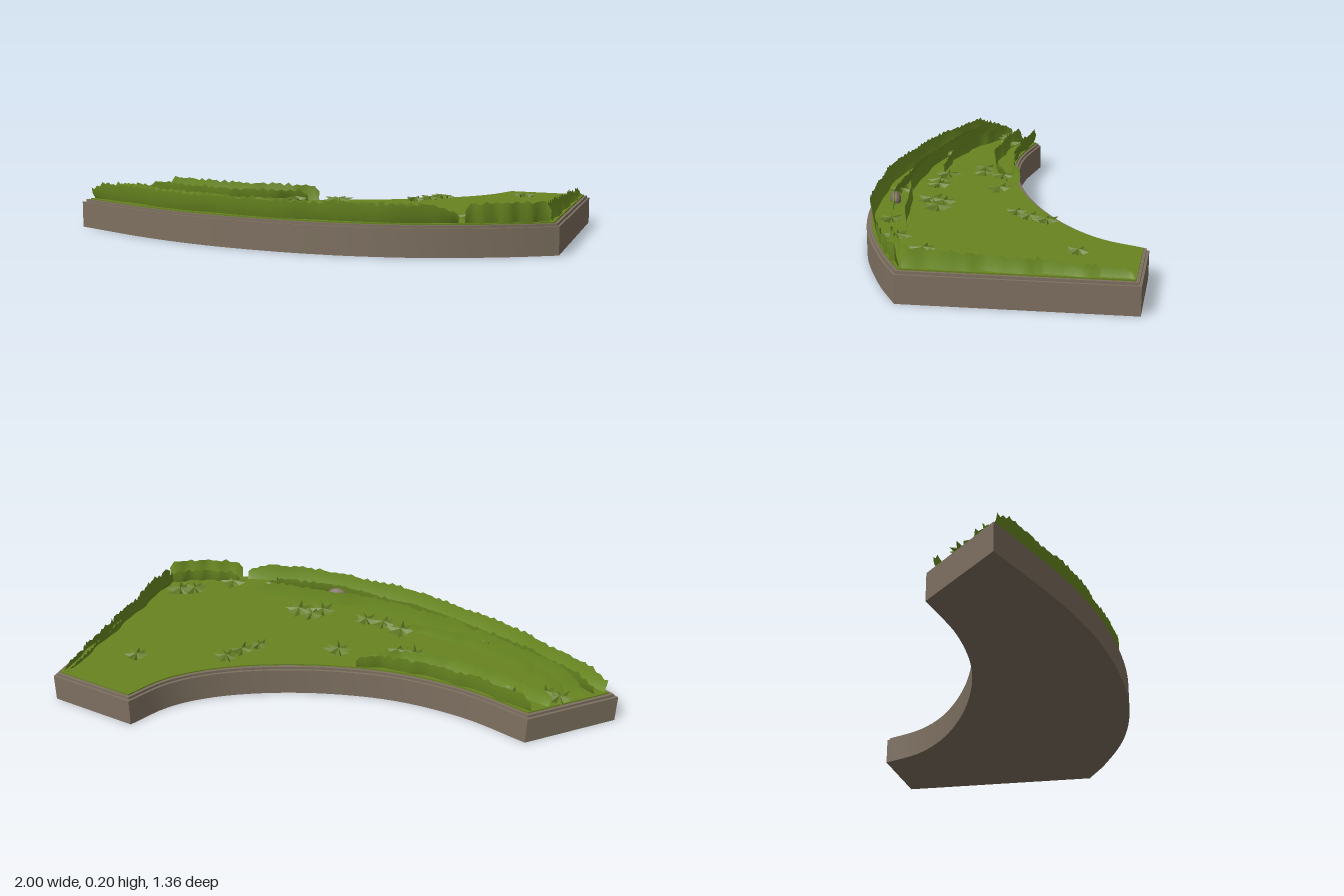
import * as THREE from 'three';
import { toCreasedNormals } from 'three/addons/utils/BufferGeometryUtils.js';

const mat = (name, color, side = THREE.FrontSide) =>
  Object.assign(new THREE.MeshStandardMaterial({ color, side }), { name });

function seeded(seed) {
  let s = seed * 7919 + 17;
  return () => (s = (s * 16807) % 2147483647) / 2147483647;
}

// smooth curve on the ground through [x, z] points
const groundCurve = pts =>
  new THREE.CatmullRomCurve3(pts.map(([x, z]) => new THREE.Vector3(x, 0, z)));

const INNER = [[-0.62, -0.68], [-0.46, -0.48], [-0.25, -0.31], [0, -0.19], [0.25, -0.12],
  [0.45, -0.1], [0.6, -0.12], [0.75, -0.19]];
const OUTER = [[0.47, 0.68], [0.3, 0.645], [0, 0.54], [-0.3, 0.35], [-0.6, 0.05], [-0.8, -0.24], [-1, -0.64]];

function outline() {
  return [...groundCurve(INNER).getSpacedPoints(36), new THREE.Vector3(1, 0, 0.05),
    ...groundCurve(OUTER).getSpacedPoints(40)];
}

// moves every outline point inwards with mitred corners
function inset(pts, d) {
  const n = pts.length;
  return pts.map((p, i) => {
    const a = p.clone().sub(pts[(i + n - 1) % n]).normalize();
    const b = pts[(i + 1) % n].clone().sub(p).normalize();
    const na = new THREE.Vector3(-a.z, 0, a.x), nb = new THREE.Vector3(-b.z, 0, b.x);
    const m = na.clone().add(nb).normalize();
    return p.clone().addScaledVector(m, d / m.dot(na));
  });
}

function layer(name, pts, y, height, material) {
  const shape = new THREE.Shape(pts.map(p => new THREE.Vector2(p.x, -p.z)));
  const geo = new THREE.ExtrudeGeometry(shape, { depth: height, bevelEnabled: false });
  geo.rotateX(-Math.PI / 2).translate(0, y, 0);
  const mesh = new THREE.Mesh(toCreasedNormals(geo, 0.6), material);
  mesh.name = name;
  return mesh;
}

// upright wavy sheet of grass with a ragged top; lean is towards the right of the path
function grassSheet(name, pts, material, { h0 = 0.075, h1 = 0.075, lean = 0.015, seed = 1, spiky = 0.012, step = 0.018 }) {
  const rnd = seeded(seed), curve = groundCurve(pts);
  const n = Math.max(6, Math.round(curve.getLength() / step));
  const pos = [], index = [];
  for (let i = 0; i <= n; i++) {
    const u = i / n, p = curve.getPointAt(u), t = curve.getTangentAt(u);
    const wave = Math.sin(u * 23 + seed) * 0.005 + Math.sin(u * 51 + seed * 2) * 0.002;
    const ends = Math.min(1, 0.6 + Math.min(u, 1 - u) * 8);
    const h = (h0 + (h1 - h0) * u) * ends - rnd() * spiky * 0.7 - (i % 2) * spiky * 0.5;
    [[0, 0], [0.5, 0.75], [1, 1]].forEach(([k, bulge]) => {
      const off = wave + lean * bulge;
      pos.push(p.x - t.z * off, 0.118 + h * k, p.z + t.x * off);
    });
    if (i < n) for (let j = 0; j < 2; j++) {
      const a = i * 3 + j;
      index.push(a, a + 3, a + 1, a + 1, a + 3, a + 4);
    }
  }
  const geo = new THREE.BufferGeometry();
  geo.setAttribute('position', new THREE.Float32BufferAttribute(pos, 3));
  geo.setIndex(index);
  geo.computeVertexNormals();
  const mesh = new THREE.Mesh(geo, material);
  mesh.name = name;
  return mesh;
}

// star of leaves fanning out from a slightly raised middle
function leafTuft(x, z, r, seed, material) {
  const rnd = seeded(seed), points = 8, pos = [0, 0.022, 0], index = [];
  for (let i = 0; i < points * 2; i++) {
    const tip = i % 2 === 0, a = (i / points) * Math.PI + seed + rnd() * 0.2;
    const d = r * (tip ? 0.9 + rnd() * 0.35 : 0.55);
    pos.push(Math.cos(a) * d, tip ? 0.012 + rnd() * 0.012 : 0.006, Math.sin(a) * d);
    index.push(0, 1 + (i + 1) % (points * 2), 1 + i);
  }
  const geo = new THREE.BufferGeometry();
  geo.setAttribute('position', new THREE.Float32BufferAttribute(pos, 3));
  geo.setIndex(index);
  const flat = geo.toNonIndexed();
  flat.computeVertexNormals();
  const mesh = new THREE.Mesh(flat, material);
  mesh.position.set(x, 0.12, z);
  mesh.name = 'leafTuft';
  return mesh;
}

export function createModel() {
  const model = new THREE.Group();
  model.name = 'curvedGrassLedge';
  const stone = mat('stone', 0x7d7060);
  const turf = mat('turf', 0x67831f);
  const blades = mat('grassBlades', 0x6c8c22, THREE.DoubleSide);
  const leaves = mat('leaves', 0x668026, THREE.DoubleSide);

  // stone body, lip and turf
  const edge = outline();
  model.add(
    layer('stoneBody', edge, 0, 0.105, stone),
    layer('stoneLip', inset(edge, 0.009), 0.105, 0.01, stone),
    layer('turf', inset(edge, 0.02), 0.115, 0.005, turf),
  );

  // tall grass along the outer curve, in two rows
  const outerRow = [[-0.945, -0.62], [-0.76, -0.25], [-0.565, 0.035], [-0.28, 0.32], [0.0, 0.5], [0.13, 0.555]];
  const secondRow = [[-0.91, -0.62], [-0.82, -0.43], [-0.7, -0.24], [-0.53, 0.0], [-0.25, 0.28], [0.05, 0.48]];
  const cornerRow = [[0.15, 0.565], [0.3, 0.62], [0.45, 0.645]];
  const grass = new THREE.Group();
  grass.name = 'tallGrass';
  grass.add(
    grassSheet('outerGrass', outerRow, blades, { lean: 0.018, h0: 0.08, seed: 1 }),
    grassSheet('outerGrassBack', secondRow, blades, { lean: -0.015, h1: 0.06, seed: 2 }),
    grassSheet('cornerGrass', cornerRow, blades, { lean: 0.012, h0: 0.08, h1: 0.085, seed: 3 }),
    grassSheet('cornerGrassBack', [[0.17, 0.54], [0.32, 0.595], [0.45, 0.61]], blades, { lean: -0.01, h0: 0.06, h1: 0.065, seed: 4 }),
  );

  // long thin rows across the field
  grass.add(
    grassSheet('fieldGrass', [[-0.86, -0.63], [-0.79, -0.46], [-0.6, -0.14], [-0.38, 0.1], [-0.1, 0.3], [0.12, 0.43]],
      blades, { lean: 0.006, h0: 0.075, h1: 0.06, seed: 5 }),
    grassSheet('fieldGrassShort', [[-0.78, -0.63], [-0.72, -0.42], [-0.56, -0.17], [-0.38, -0.02]],
      blades, { lean: 0.006, h0: 0.07, h1: 0.04, seed: 6 }),
  );

  // tall grass along the back part of the inner curve
  grass.add(
    grassSheet('innerGrass', [[-0.64, -0.66], [-0.48, -0.46], [-0.28, -0.29], [-0.12, -0.21]],
      blades, { lean: -0.012, h0: 0.08, h1: 0.07, seed: 7 }),
    grassSheet('innerGrassBack', [[-0.71, -0.65], [-0.6, -0.5], [-0.4, -0.3], [-0.17, -0.2]],
      blades, { lean: 0.015, h0: 0.07, h1: 0.055, seed: 8 }),
  );

  // spiky grass tapering along the straight side
  [0, 1].forEach(i => grass.add(grassSheet('sideGrass',
    [[0.46 - i * 0.02, 0.645 - i * 0.02], [0.71 - i * 0.02, 0.35 - i * 0.015], [0.965 - i * 0.02, 0.05 - i * 0.01]],
    blades, { lean: i ? -0.006 : -0.012, h0: 0.085 - i * 0.015, h1: 0.045 - i * 0.015, seed: 9 + i, spiky: 0.02, step: 0.012 })));
  model.add(grass);

  // scattered leaf tufts: x, z, radius
  const tufts = new THREE.Group();
  tufts.name = 'leafTufts';
  [[-0.77, -0.62, 0.05], [-0.73, -0.58, 0.05], [-0.64, -0.52, 0.045], [-0.66, -0.2, 0.05], [-0.35, -0.21, 0.05],
    [-0.3, -0.17, 0.045], [-0.22, -0.21, 0.045], [-0.08, -0.1, 0.052], [-0.36, -0.03, 0.055], [-0.31, 0.04, 0.05],
    [-0.25, 0.08, 0.05], [-0.1, 0.2, 0.055], [-0.01, 0.23, 0.055], [-0.05, 0.18, 0.05], [-0.27, 0.24, 0.045],
    [0.03, 0.45, 0.045], [0.2, 0.52, 0.052], [0.37, 0.51, 0.05], [0.43, 0.52, 0.055], [0.28, 0.0, 0.045],
    [0.35, -0.03, 0.045], [0.21, 0.01, 0.035], [0.68, 0.07, 0.045],
  ].forEach(([x, z, r], i) => tufts.add(leafTuft(x, z, r, i + 1, leaves)));
  model.add(tufts);

  // small flat stone among the outer grass
  const pebble = new THREE.Mesh(toCreasedNormals(new THREE.IcosahedronGeometry(1, 1), 0.8), stone);
  pebble.name = 'pebble';
  pebble.scale.set(0.045, 0.03, 0.022);
  pebble.position.set(-0.2, 0.13, 0.31);
  pebble.rotation.y = -0.4;
  model.add(pebble);

  return model;
}
